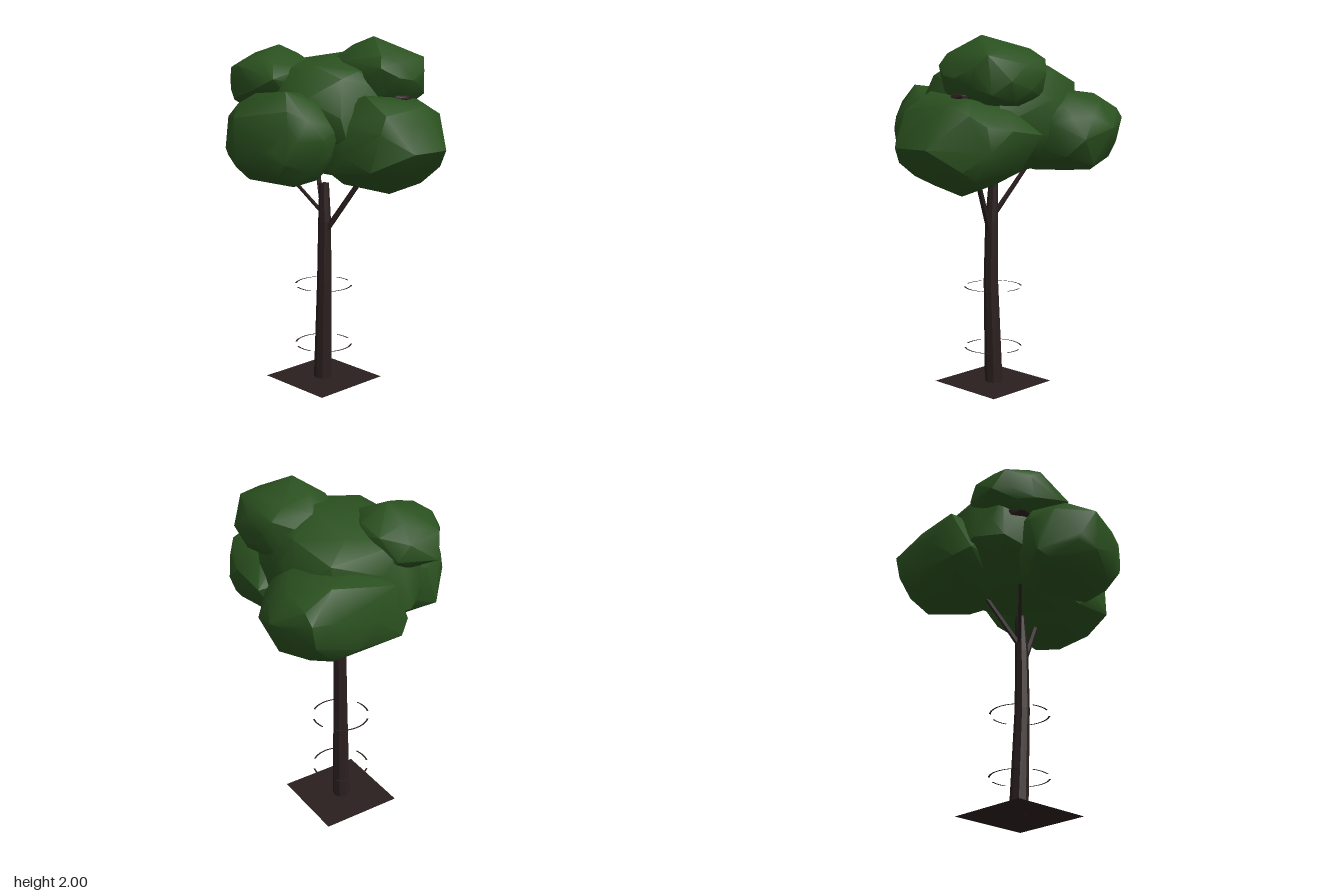
import * as THREE from 'three';
import { ConvexGeometry } from 'three/addons/geometries/ConvexGeometry.js';
import { toCreasedNormals } from 'three/addons/utils/BufferGeometryUtils.js';

export function createModel() {
  const tree = new THREE.Group();
  tree.name = 'tree';
  const leaf = new THREE.MeshStandardMaterial({ color: 0x2a501f });
  leaf.name = 'leaf green';
  const bark = new THREE.MeshStandardMaterial({ color: 0x2b1f1f, side: THREE.DoubleSide });
  bark.name = 'bark brown';

  const add = (name, geometry, material) => {
    const mesh = new THREE.Mesh(geometry, material);
    mesh.name = name;
    tree.add(mesh);
    return mesh;
  };

  let seed = 11;
  const rand = () => {
    seed = (seed * 16807) % 2147483647;
    return seed / 2147483647;
  };

  // Clump: an irregular, slightly boxy convex boulder fitted to the box lo..hi,
  // with optional jutting corners
  function clump(name, lo, hi, corners = [], material = leaf) {
    const n = 44, points = [];
    const square = (v) => Math.sign(v) * Math.abs(v) ** 0.78;
    for (let i = 0; i < n; i++) {
      const y = 1 - (2 * i + 1) / n;
      const r = Math.sqrt(1 - y * y), a = i * 2.39996 + rand() * 0.5;
      const p = new THREE.Vector3(square(r * Math.cos(a)), square(y), square(r * Math.sin(a)));
      points.push(p.multiplyScalar(0.95 + rand() * 0.1));
    }
    const box = new THREE.Box3().setFromPoints(points);
    const min = new THREE.Vector3(...lo);
    const scale = new THREE.Vector3(...hi).sub(min).divide(box.getSize(new THREE.Vector3()));
    points.forEach((p) => p.sub(box.min).multiply(scale).add(min));
    corners.forEach((c) => points.push(new THREE.Vector3(...c)));
    add(name, toCreasedNormals(new ConvexGeometry(points), 0.7), material);
  }
  clump('centralClump', [-0.53, 1.23, -0.43], [0.34, 1.89, 0.38],
    [[-0.1, 1.66, -0.43], [0.0, 1.82, 0.25], [0.24, 1.82, 0.04], [0.04, 1.62, 0.39],
      [-0.55, 1.45, 0.12], [-0.05, 1.91, -0.15]]);
  clump('frontClump', [-0.36, 1.22, 0.1], [0.28, 1.72, 0.6],
    [[-0.37, 1.32, 0.43], [-0.1, 1.59, 0.62], [-0.1, 1.35, 0.62], [-0.2, 1.42, 0.6],
      [0.14, 1.42, 0.56], [0.29, 1.48, 0.34], [0.12, 1.73, 0.45]]);
  clump('sideClump', [-0.03, 1.17, -0.44], [0.57, 1.67, 0.23],
    [[0.645, 1.41, -0.22], [0.64, 1.41, 0.02], [0.31, 1.14, -0.14], [0.25, 1.5, -0.46],
      [0.02, 1.47, -0.46], [0.33, 1.7, 0.08], [0.56, 1.28, -0.05], [0.58, 1.53, -0.12]]);
  clump('backClump', [-0.62, 1.24, -0.58], [-0.05, 1.72, 0.08],
    [[-0.65, 1.49, -0.14], [-0.38, 1.5, -0.62], [-0.6, 1.55, -0.51], [-0.16, 1.55, -0.52],
      [-0.61, 1.35, 0.02], [-0.6, 1.64, -0.02], [-0.55, 1.4, 0.1]]);
  clump('upperFrontClump', [-0.54, 1.6, -0.06], [-0.05, 1.91, 0.42],
    [[-0.56, 1.69, 0.27], [-0.3, 1.95, 0.13], [-0.06, 1.78, 0.38]]);
  clump('upperBackClump', [-0.13, 1.6, -0.46], [0.41, 1.95, 0.05],
    [[0.17, 2.0, -0.15], [0.425, 1.77, -0.2]]);

  // Bark knots where the upper clumps rest on their boughs
  clump('boughKnot', [-0.43, 1.58, 0.1], [-0.2, 1.64, 0.33], [], bark);
  clump('boughKnot', [0.18, 1.65, -0.25], [0.4, 1.7, -0.1], [], bark);

  // Tapered limb between two points
  function limb(name, from, to, r0, r1, sides) {
    const a = new THREE.Vector3(...from), b = new THREE.Vector3(...to);
    const dir = b.clone().sub(a);
    const geometry = new THREE.CylinderGeometry(r1, r0, dir.length(), sides);
    const mesh = add(name, toCreasedNormals(geometry, 0.6), bark);
    mesh.position.copy(a).add(b).multiplyScalar(0.5);
    mesh.quaternion.setFromUnitVectors(new THREE.Vector3(0, 1, 0), dir.normalize());
  }

  // Trunk: stacked octagonal sections that taper and lean slightly
  const sections = [[-0.083, 0, 0.002, 0.052], [-0.063, 0.6, 0.006, 0.042],
    [-0.064, 0.95, 0.002, 0.037], [-0.073, 1.17, -0.003, 0.028]];
  for (let i = 0; i < 3; i++) {
    const a = sections[i], b = sections[i + 1];
    limb('trunk', a.slice(0, 3), b.slice(0, 3), a[3], b[3], 8);
  }

  // Branches
  limb('branch', [-0.04, 0.91, 0], [0.16, 1.24, -0.1], 0.017, 0.015, 5);
  limb('branch', [-0.08, 0.99, 0], [-0.24, 1.26, 0.17], 0.012, 0.01, 5);
  limb('branch', [-0.08, 0.99, 0], [-0.24, 1.26, -0.1], 0.016, 0.013, 5);

  // Soil square
  const soil = new THREE.PlaneGeometry(0.48, 0.48).rotateX(-Math.PI / 2);
  add('soilSquare', soil, bark).position.set(-0.075, 0, 0);

  // Thin broken hoops around the trunk, each of four arcs
  for (const y of [0.21, 0.57]) {
    for (const [from, to] of [[74, 108], [138, 222], [250, 290], [322, 398]]) {
      const arc = new THREE.RingGeometry(0.159, 0.169, 10, 1,
        THREE.MathUtils.degToRad(from), THREE.MathUtils.degToRad(to - from));
      arc.rotateX(-Math.PI / 2);
      add('hoop', arc, bark).position.set(-0.075, y, 0);
    }
  }
  return tree;
}
